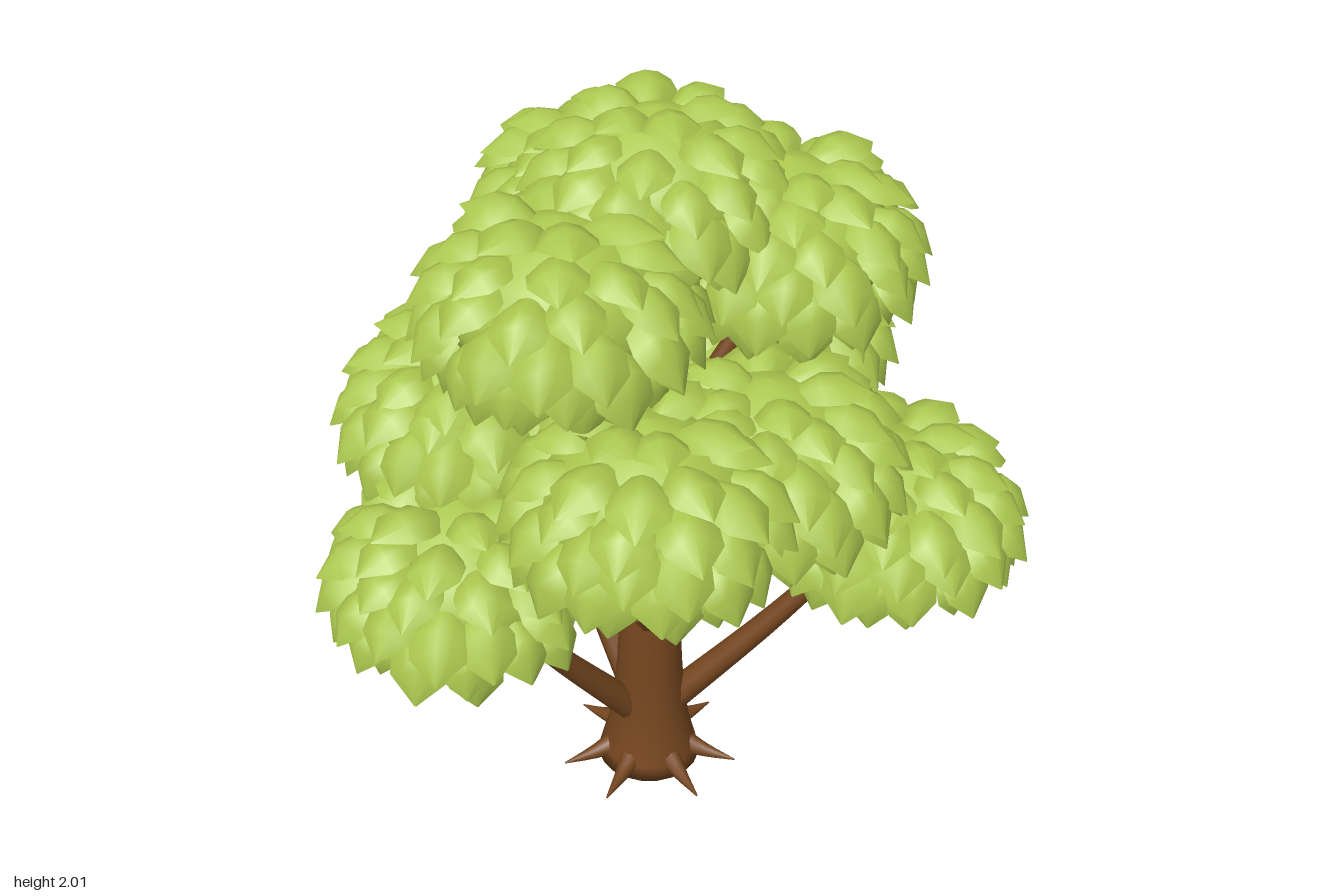
import * as THREE from 'three';
import { mergeGeometries } from 'three/addons/utils/BufferGeometryUtils.js';

const V = (x, y, z) => new THREE.Vector3(x, y, z);

function seeded(seed) {
  return () => {
    seed = (seed * 16807) % 2147483647;
    return seed / 2147483647;
  };
}

// Foliage clumps: x, y, z, overall radius
const CLUMPS = [
  // low tier
  [-0.52, 0.90, -0.05, 0.355], [0.48, 0.88, 0.50, 0.365],
  [0.10, 0.90, -0.49, 0.37], [0.49, 0.89, -0.29, 0.37],
  // middle tier
  [-0.28, 1.20, 0.36, 0.36], [0.08, 1.18, 0.41, 0.35],
  [-0.29, 1.20, -0.25, 0.36], [0.52, 1.21, 0.01, 0.355],
  // upper tier
  [-0.27, 1.60, 0.06, 0.36], [0.35, 1.60, 0.21, 0.355],
  [0.18, 1.60, -0.27, 0.355], [0.08, 1.765, 0.03, 0.34],
];

// Each ring of leaves: latitude, leaf count, outward tilt, leaf size
const RINGS = [[66, 6, 50, 1], [48, 9, 52, 1], [31, 12, 54, 1], [14, 14, 55, 1], [-4, 14, 57, 1],
  [-23, 13, 60, 0.92], [-45, 10, 60, 0.78], [-66, 6, 55, 0.62]];
const ROWS = [[0, 0.6], [0.35, 0.95], [0.65, 0.9], [1, 0.03]]; // distance along leaf, width

// A clump is peaked above and flatter below: maps a unit sphere point onto it
function clumpPoint(n, r) {
  const c = Math.hypot(n.x, n.z);
  const squeeze = n.y > 0 ? Math.pow(c, 0.4) : 1;
  return V(n.x * squeeze * r * 0.74, n.y * r * (n.y > 0 ? 0.63 : 0.41), n.z * squeeze * r * 0.74);
}

// One arched, pointed leaf; t runs down the clump, n points outward
function leaf(base, t, n, tilt, length, halfWidth) {
  const side = t.clone().cross(n);
  const ct = Math.cos(tilt), st = Math.sin(tilt);
  const dir = t.clone().multiplyScalar(ct).addScaledVector(n, st);
  const lift = n.clone().multiplyScalar(ct).addScaledVector(t, -st);
  const pos = [], index = [], cols = 4;
  ROWS.forEach(([v, w], r) => {
    for (let c = 0; c <= cols; c++) {
      const u = (c / cols) * 2 - 1;
      const h = halfWidth * (0.6 * (1 - u * u) * w - 0.7 * v * v);
      const p = base.clone().addScaledVector(dir, length * v)
        .addScaledVector(side, u * w * halfWidth).addScaledVector(lift, h);
      pos.push(p.x, p.y, p.z);
      if (r < ROWS.length - 1 && c < cols) {
        const a = r * (cols + 1) + c, d = a + cols + 1;
        index.push(a, a + 1, d + 1, a, d + 1, d);
      }
    }
  });
  const g = new THREE.BufferGeometry();
  g.setAttribute('position', new THREE.Float32BufferAttribute(pos, 3));
  g.setIndex(index);
  g.computeVertexNormals();
  return g;
}

function clumpLeaves(r, rand) {
  const parts = [];
  RINGS.forEach(([lat, count, tilt, scale], k) => {
    for (let i = 0; i < count; i++) {
      const f = THREE.MathUtils.degToRad(lat + (rand() - 0.5) * 8);
      const a = ((i + (k % 2) / 2 + (rand() - 0.5) * 0.4) / count) * Math.PI * 2;
      const n = V(Math.cos(a) * Math.cos(f), Math.sin(f), Math.sin(a) * Math.cos(f));
      const t = V(Math.cos(a) * Math.sin(f), -Math.cos(f), Math.sin(a) * Math.sin(f));
      const base = clumpPoint(n, r).addScaledVector(n, -0.02);
      const size = (r / 0.36) * scale * (0.92 + rand() * 0.16);
      parts.push(leaf(base, t, n, THREE.MathUtils.degToRad(tilt), 0.16 * size, 0.075 * size));
    }
  });
  return mergeGeometries(parts);
}

// Smooth heart of a clump
function clumpCore(r) {
  const g = new THREE.SphereGeometry(1, 20, 16);
  const p = g.attributes.position, v = V(0, 0, 0);
  for (let i = 0; i < p.count; i++) {
    const q = clumpPoint(v.fromBufferAttribute(p, i), r);
    p.setXYZ(i, q.x, q.y, q.z);
  }
  g.computeVertexNormals();
  return g;
}

// Round limb that narrows from r0 to r1 along a curve
function limb(points, r0, r1, segments = 10) {
  const curve = new THREE.CatmullRomCurve3(points);
  const g = new THREE.TubeGeometry(curve, segments, 1, 10, false);
  const p = g.attributes.position, v = V(0, 0, 0);
  for (let i = 0; i < p.count; i++) {
    const s = Math.floor(i / 11) / segments;
    const c = curve.getPointAt(s);
    v.fromBufferAttribute(p, i).sub(c).multiplyScalar(r0 + (r1 - r0) * s).add(c);
    p.setXYZ(i, v.x, v.y, v.z);
  }
  return g;
}

export function createModel() {
  const tree = new THREE.Group();
  tree.name = 'leafyTree';
  const bark = new THREE.MeshStandardMaterial({ color: 0x75461f });
  bark.name = 'brownBark';
  const green = new THREE.MeshStandardMaterial({ color: 0xaac74e, side: THREE.DoubleSide });
  green.name = 'leafGreen';
  const rand = seeded(4711);
  const add = (name, geometry, material, parent = tree) => {
    const m = new THREE.Mesh(geometry, material);
    m.name = name;
    parent.add(m);
    return m;
  };

  // Trunk with a flared foot
  const profile = [[0, 0], [0.145, 0], [0.135, 0.04], [0.117, 0.11], [0.102, 0.2], [0.093, 0.32],
    [0.084, 0.5], [0.068, 0.9], [0.05, 1.3], [0.035, 1.65], [0, 1.66]];
  const trunk = add('trunk', new THREE.LatheGeometry(
    profile.map(([x, y]) => new THREE.Vector2(x, y)), 20), bark);
  trunk.position.set(0.06, 0, 0.04);

  // Pointed roots around the foot
  for (let i = 0; i < 7; i++) {
    const a = (i / 7) * Math.PI * 2 + (i % 2) * 0.15;
    const at = (d, y) => V(0.06 + Math.cos(a) * d, y, 0.04 + Math.sin(a) * d);
    add('root', limb([at(0.08, 0.06), at(0.16, 0.03), at(0.255, 0.012)], 0.038, 0.002, 6), bark);
  }

  // Branches reach from the trunk into each clump below the crown
  CLUMPS.slice(0, 11).forEach(([x, y, z], i) => {
    const tier = Math.floor(i / 4);
    const startY = [0.2, 0.52, 1.05][tier];
    const out = V(x - 0.06, 0, z - 0.04).normalize();
    const start = V(0.06, startY, 0.04).addScaledVector(out, [0.07, 0.05, 0.03][tier]);
    const end = V(x, y - 0.03, z);
    const mid = start.clone().lerp(end, 0.5);
    mid.y -= 0.02;
    const r0 = [0.044, 0.042, 0.034][tier];
    add('branch', limb([start, mid, end], r0, r0 * 0.45), bark);
  });

  // Foliage: a smooth core dressed in overlapping leaves
  CLUMPS.forEach(([x, y, z, r]) => {
    const clump = new THREE.Group();
    clump.name = 'foliageClump';
    clump.position.set(x, y, z);
    add('clumpCore', clumpCore(r), green, clump);
    add('leaves', clumpLeaves(r, rand), green, clump);
    tree.add(clump);
  });

  return tree;
}
